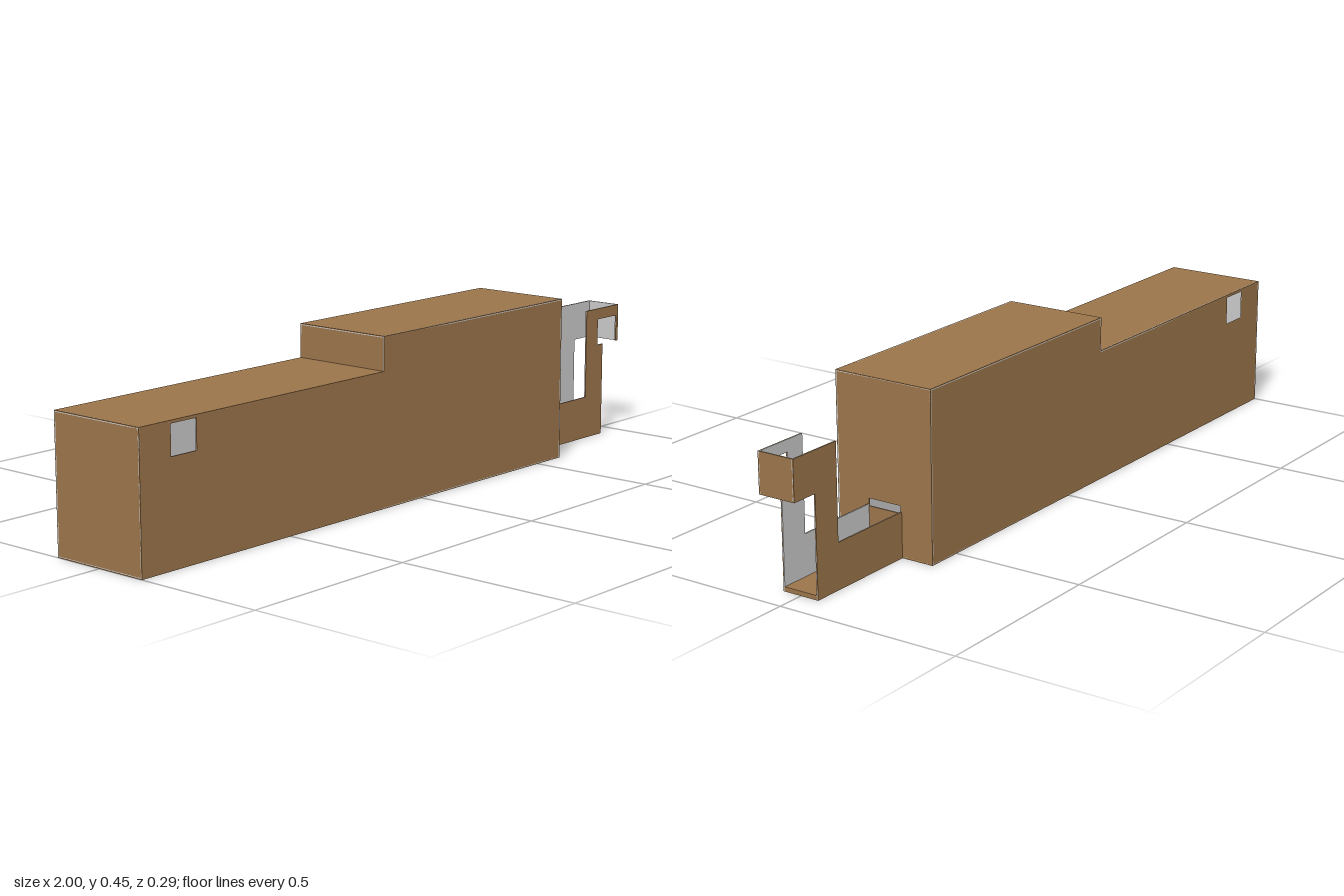
import * as THREE from 'three';

const brown = new THREE.MeshStandardMaterial({ color: 0x9b744a });
brown.name = 'brown outside';
const grey = new THREE.MeshStandardMaterial({ color: 0xc8c8c8 });
grey.name = 'grey inside';

const T = 0.002; // thickness of each layer of a panel

const rect = (x0, y0, x1, y1) => [[x0, y0], [x1, y0], [x1, y1], [x0, y1]];
const mirror = (pts) => pts.map(([x, y]) => [-x, y]);

// Two-layer panel: brown faces local +z, grey lies behind it
function panel(name, points, { hole, position = [0, 0, 0], rotation = [0, 0, 0] } = {}) {
  const toVectors = (pts) => pts.map(([x, y]) => new THREE.Vector2(x, y));
  const shape = new THREE.Shape(toVectors(points));
  if (hole) shape.holes.push(new THREE.Path(toVectors(hole)));
  const group = new THREE.Group();
  group.name = name;
  [[brown, -T], [grey, -2 * T]].forEach(([material, z]) => {
    const geometry = new THREE.ExtrudeGeometry(shape, { depth: T, bevelEnabled: false });
    geometry.translate(0, 0, z);
    const mesh = new THREE.Mesh(geometry, material);
    mesh.name = name + (material === brown ? 'Outer' : 'Inner');
    group.add(mesh);
  });
  group.position.set(...position);
  group.rotation.set(...rotation);
  return group;
}

export function createModel() {
  const model = new THREE.Group();
  const half = 0.143, low = 0.358, high = 0.448, step = -0.15, end = 0.6;
  const right = [0, Math.PI / 2, 0], left = [0, -Math.PI / 2, 0], back = [0, Math.PI, 0];
  const up = [-Math.PI / 2, 0, 0], down = [Math.PI / 2, 0, 0];

  // Hollow stepped body with a square hole through both sides
  const body = new THREE.Group();
  body.name = 'body';
  const side = [[-1, 0], [end, 0], [end, high], [step, high], [step, low], [-1, low]];
  const hole = rect(-0.9, 0.272, -0.817, 0.35);
  body.add(
    panel('bodyFront', side, { hole, position: [0, 0, half] }),
    panel('bodyBack', mirror(side), { hole: mirror(hole), position: [0, 0, -half], rotation: back }),
    panel('bodyLowTop', rect(-1, -half, step, half), { position: [0, low, 0], rotation: up }),
    panel('bodyHighTop', rect(step, -half, end, half), { position: [0, high, 0], rotation: up }),
    panel('bodyBottom', rect(-1, -half, end, half), { rotation: down }),
    panel('bodyStep', rect(-half, low, half, high), { position: [step, 0, 0], rotation: left }),
    panel('bodyPlainEnd', rect(-half, 0, half, low), { position: [-1, 0, 0], rotation: left }),
    panel('bodySlottedEnd', rect(-half, 0, half, high), {
      hole: rect(-0.048, 0.115, 0.048, 0.135), position: [end, 0, 0], rotation: right,
    }),
  );

  // Open hook: two side plates, a floor and a tip plate
  const hook = new THREE.Group();
  hook.name = 'hook';
  const foot = [[end, 0], [0.925, 0], [0.925, 0.265]];
  const notch = [[0.9, 0.265], [0.9, 0.34], [0.99, 0.34], [0.99, 0.265]];
  const top = [[1, 0.265], [1, 0.371], [0.845, 0.371], [0.845, 0.12], [end, 0.12]];
  const floor = new THREE.Mesh(new THREE.BoxGeometry(0.325, 0.012, 0.096), brown);
  floor.name = 'hookFloor';
  floor.position.set(0.7625, 0.006, 0);
  hook.add(
    panel('hookFront', [...foot, ...notch, ...top], { position: [0, 0, 0.052] }),
    panel('hookBack', mirror([...foot, ...top]), { position: [0, 0, -0.052], rotation: back }),
    panel('hookTip', rect(-0.052, 0.265, 0.052, 0.371), { position: [1, 0, 0], rotation: right }),
    floor,
  );

  model.add(body, hook);
  return model;
}
